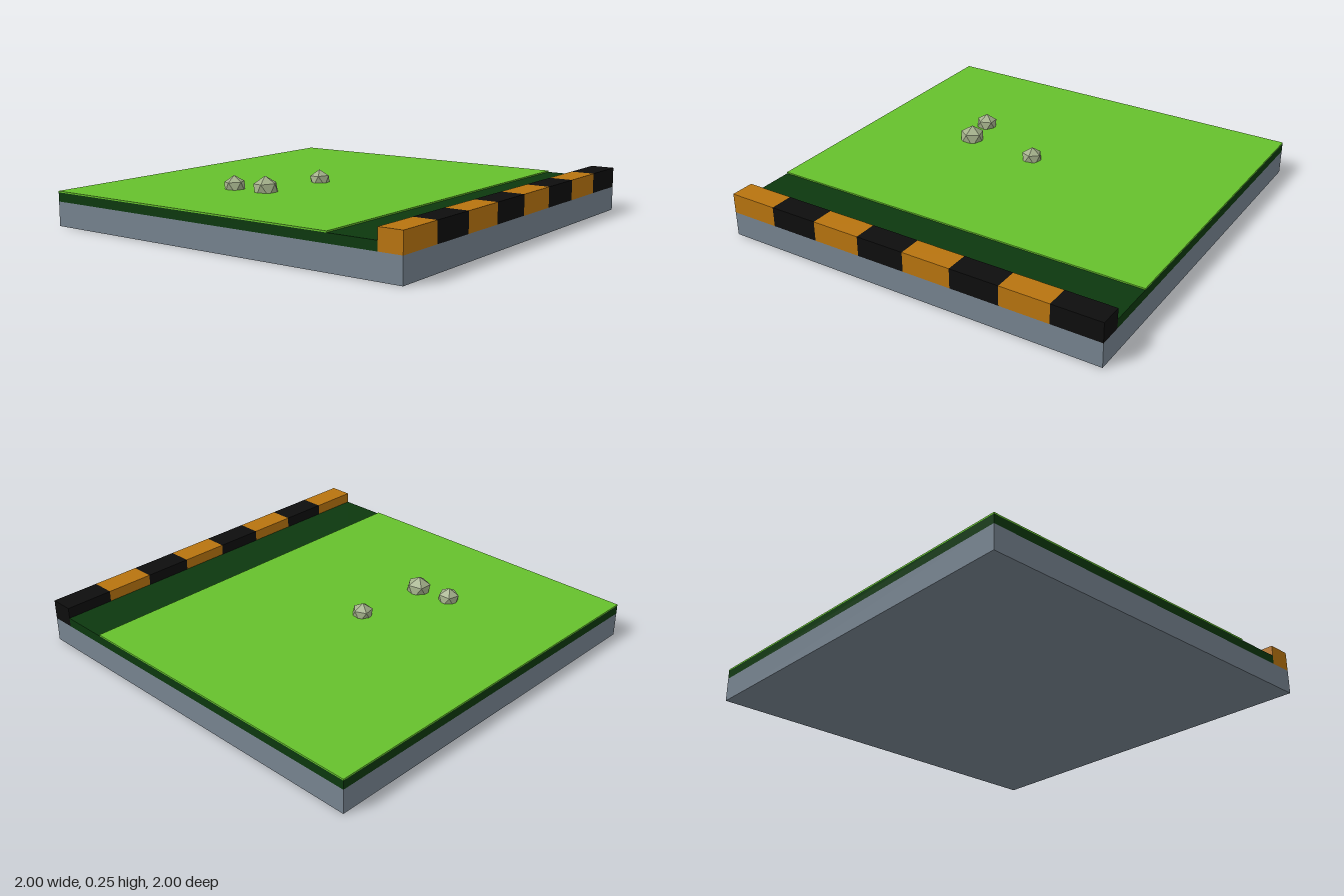
import * as THREE from 'three';

const mat = (name, color, flatShading = false) => {
  const m = new THREE.MeshStandardMaterial({ color });
  m.name = name;
  m.flatShading = flatShading;
  return m;
};

export function createModel() {
  const stone = mat('slate grey', 0x76838f);
  const soil = mat('dark green', 0x0c380e);
  const grass = mat('grass green', 0x66c02c);
  const orange = mat('kerb orange', 0xb8740f);
  const black = mat('kerb black', 0x0d0d0d);
  const rockMat = mat('pale rock', 0xa3b08a, true);

  const model = new THREE.Group();
  model.name = 'groundTile';

  // Box given by its extents along y, z and x
  const slab = (name, material, y0, y1, z0, z1, x0 = -1, x1 = 1) => {
    const mesh = new THREE.Mesh(new THREE.BoxGeometry(x1 - x0, y1 - y0, z1 - z0), material);
    mesh.position.set((x0 + x1) / 2, (y0 + y1) / 2, (z0 + z1) / 2);
    mesh.name = name;
    model.add(mesh);
  };

  // Layered ground
  slab('base', stone, 0, 0.122, -1, 1);
  slab('lowerTurf', soil, 0.122, 0.167, -1, 0.88);
  slab('grass', grass, 0.167, 0.174, -1, 0.63);

  // Striped kerb along the front edge
  for (let i = 0; i < 8; i++) {
    const x = -1 + i * 0.25;
    slab('kerbBlock' + (i + 1), i % 2 ? black : orange, 0.122, 0.222, 0.88, 1, x, x + 0.25);
  }

  // Half-buried faceted rocks, each with one point facing up
  const rockShape = new THREE.IcosahedronGeometry(1, 0);
  rockShape.rotateZ(Math.atan(2 / (1 + Math.sqrt(5))));
  [
    [-0.42, 0.184, -0.175, 0.067, 0.3],
    [-0.445, 0.183, -0.353, 0.058, 0.1],
    [-0.03, 0.182, -0.143, 0.056, 0.5],
  ].forEach(([x, y, z, r, turn], i) => {
    const rock = new THREE.Mesh(rockShape, rockMat);
    rock.position.set(x, y, z);
    rock.scale.setScalar(r);
    rock.rotation.set(-0.06, turn, 0);
    rock.name = 'rock' + (i + 1);
    model.add(rock);
  });

  return model;
}
